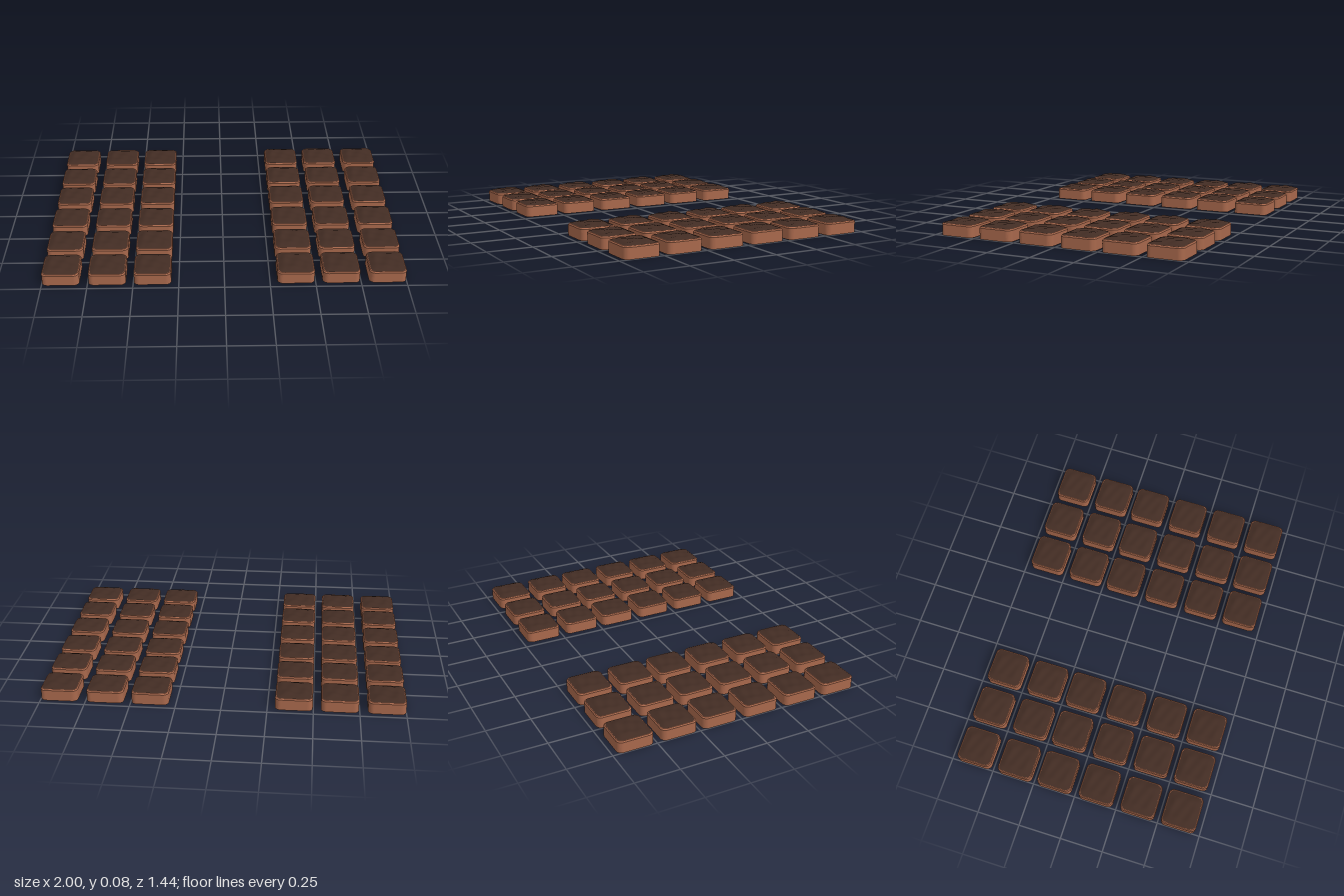
import * as THREE from 'three';

const HALF = 0.1025;   // half width of one tray
const HEIGHT = 0.068;  // height of the clay rim

// Traces a rounded square on a Shape or Path
function roundedSquare(path, h, r) {
  path.moveTo(-h + r, -h);
  path.lineTo(h - r, -h);
  path.absarc(h - r, -h + r, r, -Math.PI / 2, 0);
  path.lineTo(h, h - r);
  path.absarc(h - r, h - r, r, 0, Math.PI / 2);
  path.lineTo(-h + r, h);
  path.absarc(-h + r, h - r, r, Math.PI / 2, Math.PI);
  path.lineTo(-h, -h + r);
  path.absarc(-h + r, -h + r, r, Math.PI, Math.PI * 1.5);
  return path;
}

// Bottomless clay frame: flat foot, upright walls, top edge drawn slightly inward
function frameGeometry() {
  const shape = roundedSquare(new THREE.Shape(), HALF, 0.03);
  shape.holes.push(roundedSquare(new THREE.Path(), HALF - 0.023, 0.014));
  const geo = new THREE.ExtrudeGeometry(shape, { depth: HEIGHT, steps: 10, bevelEnabled: false, curveSegments: 4 });
  geo.rotateX(-Math.PI / 2);
  const p = geo.attributes.position;
  for (let i = 0; i < p.count; i++) {
    if (p.getY(i) > HEIGHT * 0.95) p.setXYZ(i, p.getX(i) * 0.95, p.getY(i), p.getZ(i) * 0.95);
  }
  geo.computeVertexNormals();
  return geo;
}

// Rounded square sheet whose height follows a rule of x, z and distance to the edge
function sheetGeometry(h, r, segments, heightAt) {
  const geo = new THREE.PlaneGeometry(2 * h, 2 * h, segments, segments);
  geo.rotateX(-Math.PI / 2);
  const p = geo.attributes.position;
  for (let i = 0; i < p.count; i++) {
    let x = p.getX(i), z = p.getZ(i);
    const edge = h - Math.max(Math.abs(x), Math.abs(z));
    const dx = Math.abs(x) - (h - r), dz = Math.abs(z) - (h - r);
    if (dx > 0 && dz > 0) {
      const s = Math.max(dx, dz) / Math.hypot(dx, dz);
      x = Math.sign(x) * (h - r + dx * s);
      z = Math.sign(z) * (h - r + dz * s);
    }
    p.setXYZ(i, x, heightAt(x, z, edge), z);
  }
  geo.computeVertexNormals();
  return geo;
}

// Lumpy soil mound, sloping up from the rim and uneven on top
function soilHeight(x, z, edge) {
  const rise = Math.min(edge / 0.035, 1);
  const lumps = Math.sin(x * 70 + z * 28 + 0.6) * 0.5 + Math.sin(z * 95 - x * 40 + 1.3) * 0.5;
  return HEIGHT + 0.0005 + rise * (0.012 + 0.0045 * lumps);
}

export function createModel() {
  const model = new THREE.Group();
  model.name = 'plantingTrays';
  const clay = new THREE.MeshStandardMaterial({ color: 0xa8684c });
  const soil = new THREE.MeshStandardMaterial({ color: 0x422c23, side: THREE.DoubleSide });

  const frame = frameGeometry();
  const top = sheetGeometry(HALF - 0.008, 0.027, 18, soilHeight);
  const under = sheetGeometry(HALF - 0.022, 0.015, 6, () => 0.048);

  // Two blocks of trays, three columns by six rows each
  const columns = [-0.897, -0.643, -0.394, 0.393, 0.642, 0.897];
  const rows = [-0.617, -0.368, -0.128, 0.123, 0.373, 0.617];
  for (const x of columns) {
    for (const z of rows) {
      const tray = new THREE.Group();
      tray.name = 'tray';
      tray.position.set(x, 0, z);
      const parts = [['clayFrame', frame, clay], ['soilMound', top, soil], ['soilUnderside', under, soil]];
      for (const [name, geometry, material] of parts) {
        const mesh = new THREE.Mesh(geometry, material);
        mesh.name = name;
        tray.add(mesh);
      }
      model.add(tray);
    }
  }
  return model;
}
